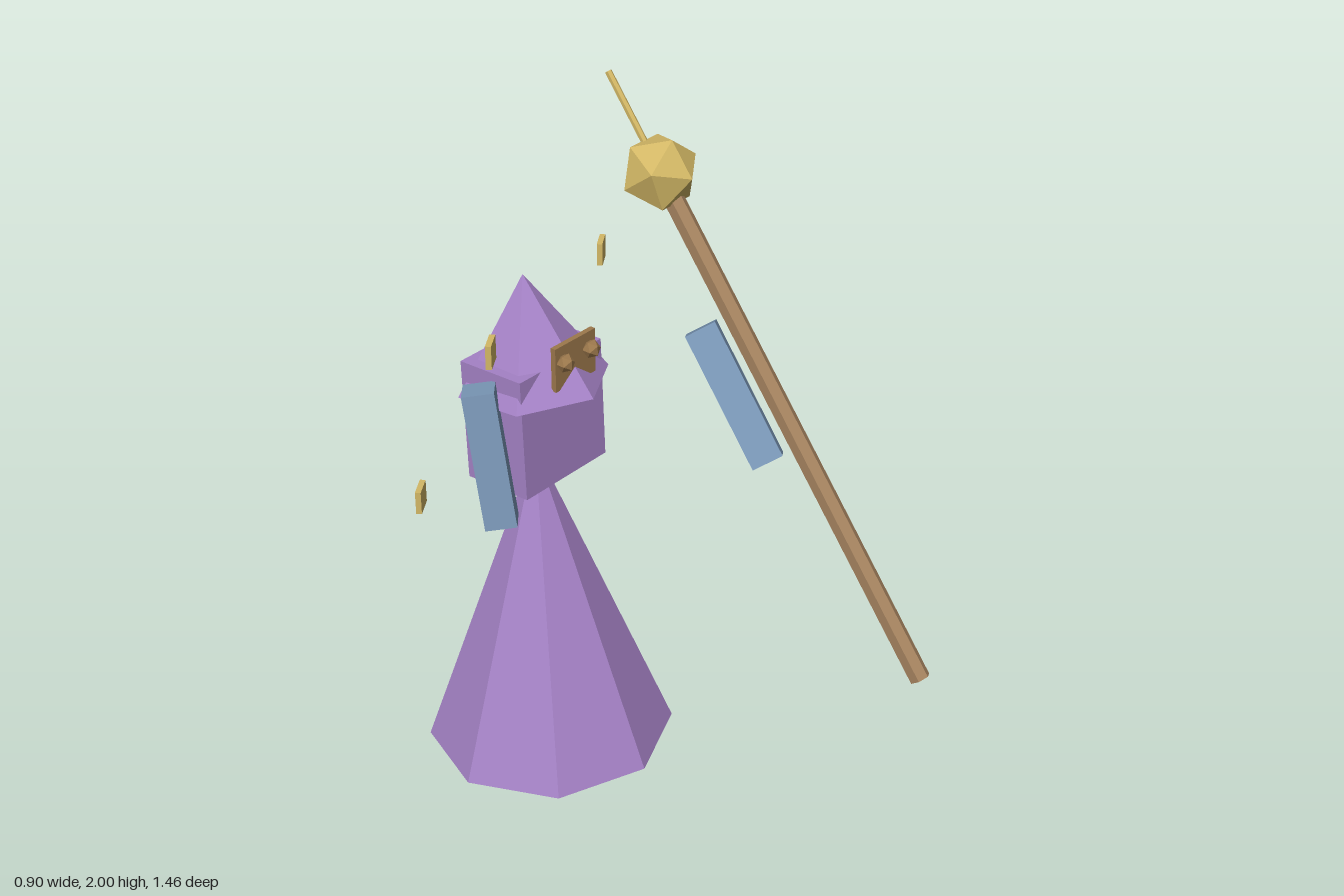
import * as THREE from 'three';

function material(name, color) {
  const m = new THREE.MeshStandardMaterial({ color, flatShading: true });
  m.name = name;
  return m;
}

export function createModel() {
  const model = new THREE.Group();
  model.name = 'floatingWizard';

  const purple = material('robe purple', 0xa582c6);
  const blue = material('sleeve blue', 0x7b98b8);
  const gold = material('gold', 0xd2b765);
  const wood = material('staff wood', 0xa5835f);
  const leather = material('mask brown', 0x9c784c);

  function add(name, geometry, mat, pos, rot = [0, 0, 0], parent = model) {
    const mesh = new THREE.Mesh(geometry, mat);
    mesh.name = name;
    mesh.position.set(...pos);
    mesh.rotation.set(...rot);
    parent.add(mesh);
    return mesh;
  }

  // Cones stand on their base centre so that the tilt pivots there
  const cone = (radius, height, sides) =>
    new THREE.ConeGeometry(radius, height, sides).translate(0, height / 2, 0);

  // Body
  add('robe', cone(0.369, 0.975, 8), purple, [-0.032, 0.0135, -0.357], [-0.034, 0, 0]);
  add('head', new THREE.BoxGeometry(0.333, 0.365, 0.22), purple, [-0.032, 1.113, -0.387], [-0.034, 0, 0]);
  add('hat', cone(0.22, 0.322, 6), purple, [-0.032, 1.2, -0.386], [-0.094, 0, 0]);

  // Mask with two knobbly eyes
  add('mask', new THREE.BoxGeometry(0.163, 0.132, 0.016), leather, [-0.029, 1.317, -0.24]);
  for (const side of [-1, 1]) {
    add(side < 0 ? 'rightEye' : 'leftEye', new THREE.IcosahedronGeometry(0.027, 0), leather,
      [-0.029 + side * 0.053, 1.335, -0.221]);
  }

  // Floating sleeves, turned corner-on and leaning forward
  const sleeve = new THREE.BoxGeometry(0.09, 0.405, 0.09);
  add('rightSleeve', sleeve, blue, [-0.255, 1.071, -0.35], [-0.17, 0.72, 0]);
  add('leftSleeve', sleeve, blue, [0.197, 1.246, 0.14], [-0.63, 0.72, 0]);

  // Staff, built around its orb
  const staff = new THREE.Group();
  staff.name = 'staff';
  staff.position.set(0.328, 1.75, -0.23);
  staff.rotation.set(-0.635, 0, 0.006);
  model.add(staff);
  add('shaft', new THREE.CylinderGeometry(0.03, 0.03, 1.58, 6), wood, [0, -0.79, 0], [0, 0, 0], staff);
  add('orb', new THREE.IcosahedronGeometry(0.112, 0), gold, [0, 0, 0], [0, 0, 0], staff);
  add('spike', new THREE.CylinderGeometry(0.01, 0.01, 0.3, 6), gold, [0, 0.154, 0], [0, 0, 0], staff);

  // Floating square charms
  const charm = new THREE.BoxGeometry(0.068, 0.068, 0.016);
  const charmSpots = [[-0.342, 1.468, -0.247], [0.414, 1.394, -0.52], [-0.42, 0.977, -0.46]];
  charmSpots.forEach((p, i) => add(`charm${i + 1}`, charm, gold, p, [0, 0.58, 0]));

  return model;
}
